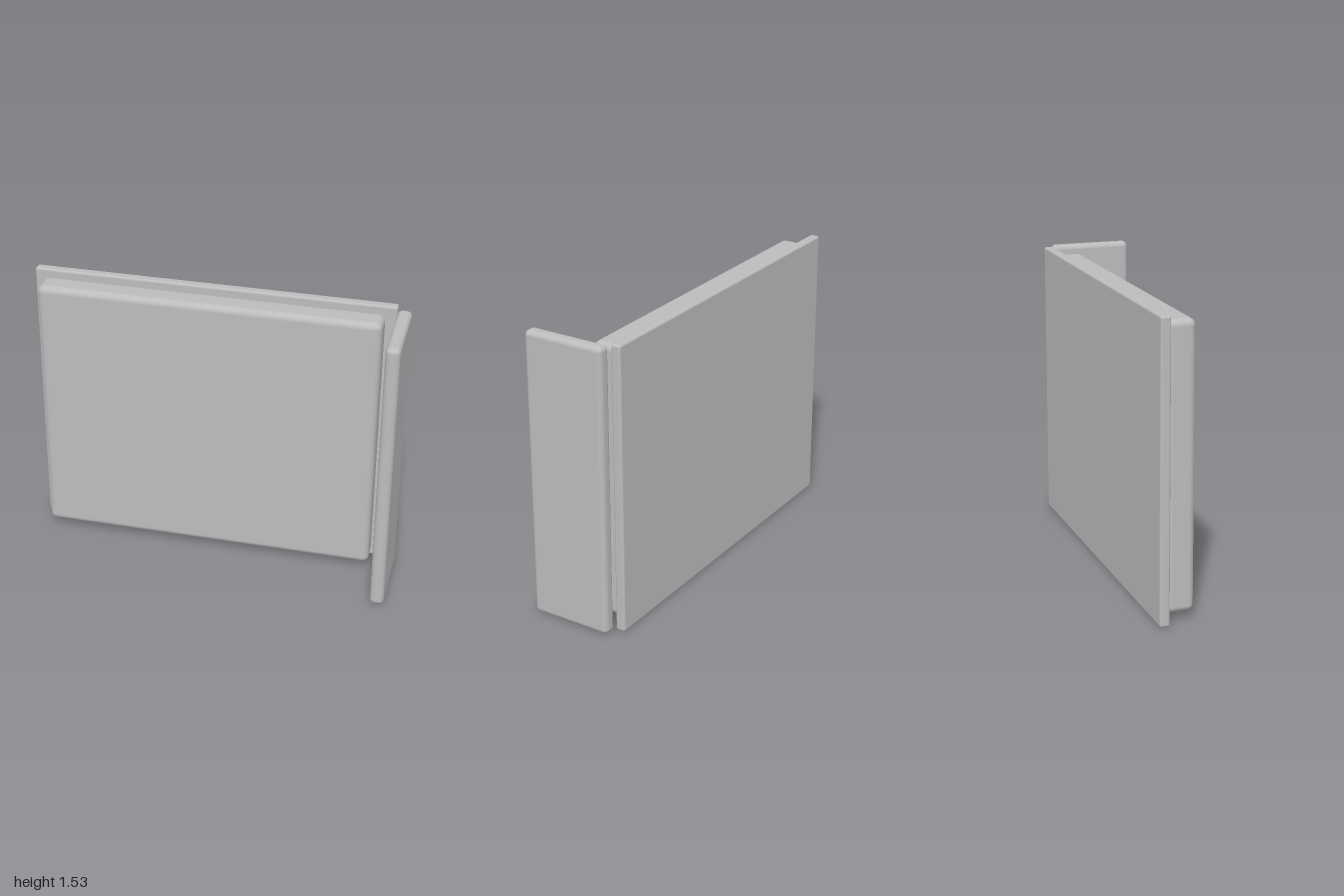
import * as THREE from 'three';
import { RoundedBoxGeometry } from 'three/addons/geometries/RoundedBoxGeometry.js';

export function createModel() {
  const group = new THREE.Group();
  const grey = new THREE.MeshStandardMaterial({ color: 0xbcbcbc });
  grey.name = 'soft grey';

  // Rounded slab spanning two opposite corners
  function slab(name, min, max, radius) {
    const size = max.map((v, i) => v - min[i]);
    const mesh = new THREE.Mesh(new RoundedBoxGeometry(...size, 5, radius), grey);
    mesh.position.set(...max.map((v, i) => (v + min[i]) / 2));
    mesh.name = name;
    group.add(mesh);
  }

  // Thin board at the back
  slab('backPanel', [-1, 0, -0.25], [0.923, 1.535, -0.197], 0.013);
  // Thick padded slab on the front of the board
  slab('frontCushion', [-0.945, 0.04, -0.197], [0.867, 1.5, -0.05], 0.035);
  // Upright wing reaching forward on the left side
  slab('sidePanel', [0.926, 0, -0.194], [1, 1.535, 0.25], 0.027);

  return group;
}
